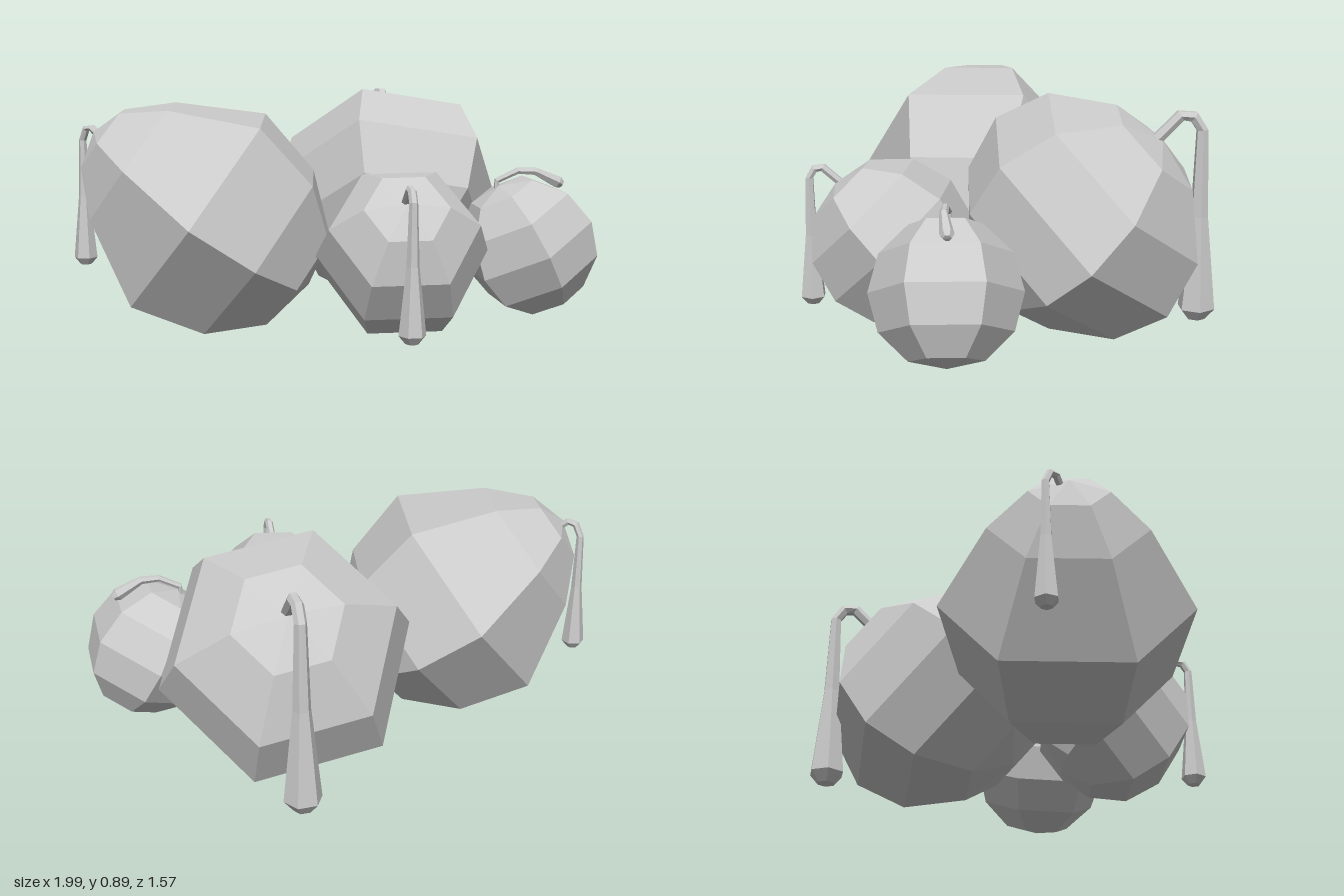
import * as THREE from 'three';

const material = new THREE.MeshStandardMaterial({ color: 0xcccccc, flatShading: true, side: THREE.DoubleSide });
const V = (p) => new THREE.Vector3(...p);

// Six-sided fruit profiles [radius, distance along axis], from blossom end to stem end
const squatProfile = [[0, -0.91], [0.49, -0.81], [0.89, -0.45], [1.03, 0], [0.88, 0.46], [0.44, 0.81], [0, 0.9]];
const roundProfile = [[0, -1], [0.5, -0.9], [0.89, -0.52], [1.03, 0], [0.89, 0.52], [0.5, 0.9], [0, 1]];
const pearProfile = [[0, -1.09], [0.49, -0.98], [0.85, -0.6], [1.01, 0], [0.62, 0.66], [0.31, 0.96], [0, 1.05]];

// Faceted body: axis points to the stem, corner points to one edge of the hexagon
function fruitBody({ profile, size, depth = 1, center, axis, corner }) {
  const points = profile.map(([r, h]) => new THREE.Vector2(r * size, h * size));
  const geometry = new THREE.LatheGeometry(points, 6).scale(depth, 1, 1);
  const y = V(axis).normalize();
  const x = y.clone().cross(V(corner)).normalize();
  const z = x.clone().cross(y);
  geometry.applyMatrix4(new THREE.Matrix4().makeBasis(x, y, z).setPosition(...center));
  const mesh = new THREE.Mesh(geometry, material);
  mesh.name = 'fruitBody';
  return mesh;
}

// Tapered hexagonal stalk swept along a planar path of [x, y, z, radius]
function stalk(path, side) {
  const n = 6, positions = [], index = [];
  const pts = path.map((p) => V(p.slice(0, 3)));
  const s = V(side).normalize();
  path.forEach((p, i) => {
    const tangent = pts[Math.min(i + 1, pts.length - 1)].clone().sub(pts[Math.max(i - 1, 0)]).normalize();
    const b = tangent.cross(s).normalize();
    for (let k = 0; k < n; k++) {
      const t = (k / n) * Math.PI * 2;
      const q = pts[i].clone().addScaledVector(s, p[3] * Math.cos(t)).addScaledVector(b, p[3] * Math.sin(t));
      positions.push(q.x, q.y, q.z);
      if (i) {
        const a = (i - 1) * n + k, c = (i - 1) * n + ((k + 1) % n);
        index.push(a, c, a + n, c, c + n, a + n);
      }
    }
  });
  const geometry = new THREE.BufferGeometry();
  geometry.setAttribute('position', new THREE.Float32BufferAttribute(positions, 3));
  geometry.setIndex(index);
  geometry.computeVertexNormals();
  const mesh = new THREE.Mesh(geometry, material);
  mesh.name = 'stalk';
  return mesh;
}

// Stalk that arches out of the fruit and hangs down to a clubbed end
function hangingStalk(start, top, hang, bottom, r) {
  const [x, y, z] = hang;
  const side = [-(z - start[2]), 0, x - start[0]];
  return stalk([
    [...start, r * 0.32], [...top, r * 0.32],
    [top[0] * 0.4 + x * 0.6, top[1] - 0.005, top[2] * 0.4 + z * 0.6, r * 0.32],
    [x, y, z, r * 0.32],
    [x, y + (bottom - y) * 0.45, z, r * 0.47],
    [x, bottom + r * 0.6, z, r],
    [x, bottom, z, r * 0.5], [x, bottom, z, 0.0005],
  ], side);
}

export function createModel() {
  const model = new THREE.Group();
  const fruits = {
    backFruit: [
      { profile: squatProfile, size: 0.472, depth: 1.03, center: [0.3, 0.43, -0.28], axis: [0.12, 0.71, -0.7], corner: [1, -0.17, 0] },
      hangingStalk([0.35, 0.72, -0.54], [0.345, 0.82, -0.64], [0.34, 0.765, -0.722], 0.035, 0.072),
    ],
    rightFruit: [
      { profile: pearProfile, size: 0.47, center: [-0.52, 0.45, 0.095], axis: [-0.8, 0.59, -0.127], corner: [-0.08, -0.01, 0.46] },
      hangingStalk([-0.86, 0.69, 0.03], [-0.92, 0.75, -0.015], [-0.955, 0.7, -0.06], 0.215, 0.045),
    ],
    frontFruit: [
      { profile: roundProfile, size: 0.31, depth: 1.03, center: [0.195, 0.312, 0.424], axis: [-0.1, 0.7, 0.7], corner: [1, 0, 0.1] },
      hangingStalk([0.16, 0.51, 0.6], [0.16, 0.59, 0.69], [0.16, 0.55, 0.742], 0.05, 0.05),
    ],
    leftFruit: [
      { profile: roundProfile, size: 0.265, center: [0.745, 0.285, 0.22], axis: [-0.45, 0.88, 0], corner: [0, 0, 1] },
      // Short stalk folded over the top of the fruit
      stalk([
        [0.62, 0.49, 0.21, 0.012], [0.62, 0.54, 0.21, 0.012], [0.7, 0.578, 0.22, 0.013], [0.77, 0.575, 0.225, 0.016],
        [0.865, 0.53, 0.215, 0.026], [0.882, 0.52, 0.213, 0.015], [0.883, 0.519, 0.213, 0.0005],
      ], [0, 0, 1]),
    ],
  };
  for (const [name, [body, stem]] of Object.entries(fruits)) {
    const fruit = new THREE.Group();
    fruit.name = name;
    fruit.add(fruitBody(body), stem);
    model.add(fruit);
  }
  return model;
}
